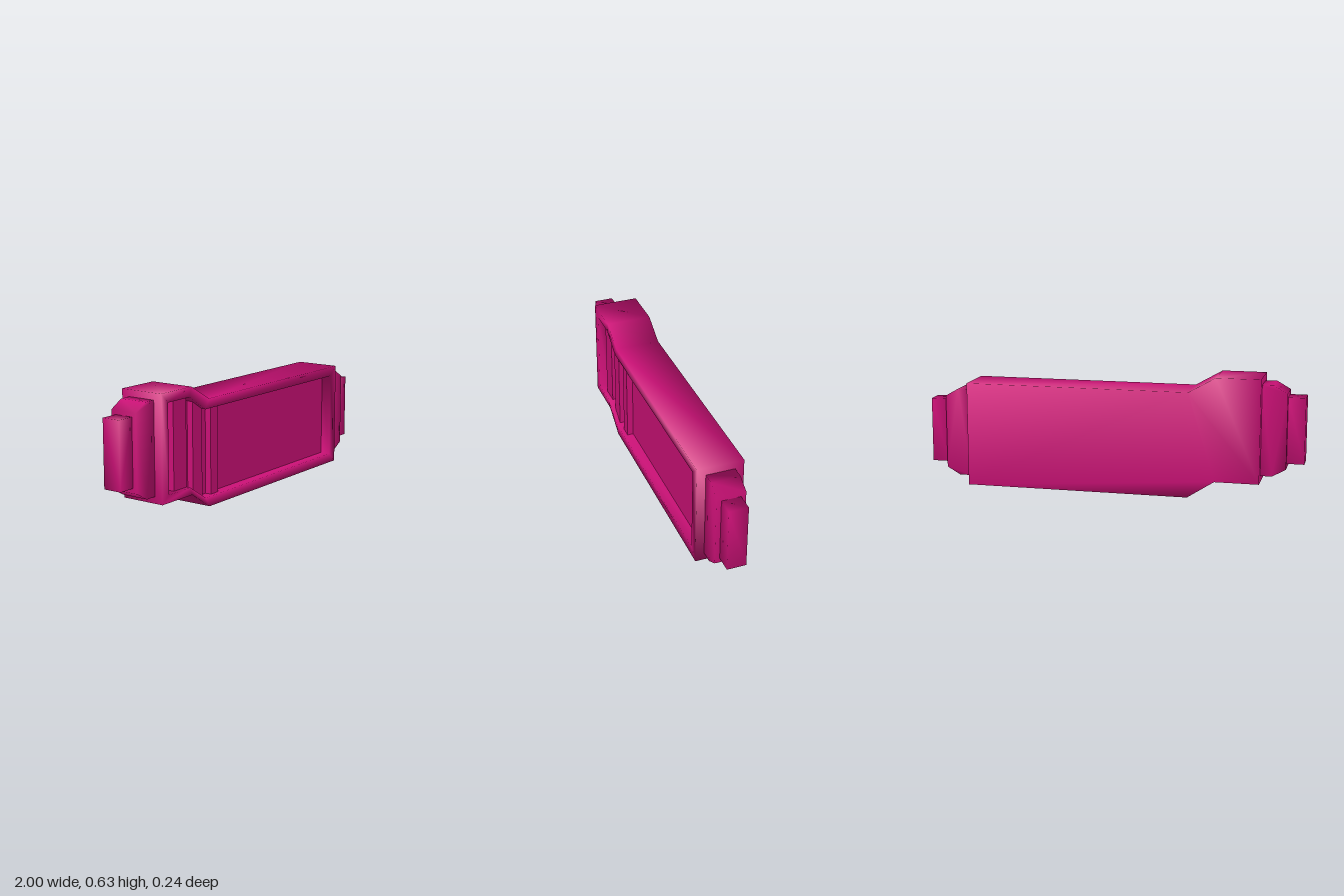
import * as THREE from 'three';

const material = new THREE.MeshStandardMaterial({ color: 0xcc1177 });

// Joins counter-clockwise rings [outline, z] into a solid with shared, smooth vertices.
function loft(rings, capFront = true) {
  const n = rings[0][0].length;
  const positions = [], index = [];
  for (const [outline, z] of rings) for (const [x, y] of outline) positions.push(x, y, z);
  for (let r = 0; r < rings.length - 1; r++) {
    for (let i = 0; i < n; i++) {
      const j = (i + 1) % n, a = r * n, b = a + n;
      index.push(a + i, a + j, b + j, a + i, b + j, b + i);
    }
  }
  const triangles = (outline) =>
    THREE.ShapeUtils.triangulateShape(outline.map(([x, y]) => new THREE.Vector2(x, y)), []);
  for (const [a, b, c] of triangles(rings[0][0])) index.push(a, c, b);
  const last = (rings.length - 1) * n;
  if (capFront) {
    for (const [a, b, c] of triangles(rings[rings.length - 1][0])) index.push(last + a, last + b, last + c);
  }
  const geometry = new THREE.BufferGeometry();
  geometry.setAttribute('position', new THREE.Float32BufferAttribute(positions, 3));
  geometry.setIndex(index);
  geometry.computeVertexNormals();
  return geometry;
}

const slab = (outline, halfDepth) => loft([[outline, -halfDepth], [outline, halfDepth]]);

// Mirrors an outline to the raised -x end and keeps its winding.
const toRightEnd = (outline) => outline.map(([x, y]) => [-x, y + 0.085]).reverse();

export function createModel() {
  const group = new THREE.Group();
  const add = (name, geometry) => {
    const mesh = new THREE.Mesh(geometry, material);
    mesh.name = name;
    group.add(mesh);
    return mesh;
  };

  // Bent casing with a raised rim around the recess
  const outer = [
    [-0.78, 0.09], [-0.55, 0.09], [-0.41, 0], [0.775, 0],
    [0.775, 0.55], [-0.41, 0.55], [-0.55, 0.63], [-0.78, 0.63],
  ];
  const inner = [
    [-0.73, 0.13], [-0.565, 0.13], [-0.44, 0.05], [0.72, 0.05],
    [0.72, 0.5], [-0.44, 0.5], [-0.565, 0.58], [-0.73, 0.58],
  ];
  const floorZ = 0.065;
  add('casing', loft([[outer, -0.12], [outer, 0.12], [inner, 0.12], [inner, floorZ]], false));

  // Flat floor of the recess
  const floorShape = new THREE.Shape(inner.map(([x, y]) => new THREE.Vector2(x, y)));
  add('recessPanel', new THREE.ShapeGeometry(floorShape)).position.z = floorZ;

  // Upright ribs that follow the bend of the recess
  const top = (x) => THREE.MathUtils.mapLinear(THREE.MathUtils.clamp(x, -0.565, -0.44), -0.565, -0.44, 0.58, 0.5);
  [[-0.665, -0.565], [-0.515, -0.44], [-0.37, -0.31]].forEach(([x0, x1], i) => {
    const shape = new THREE.Shape([
      new THREE.Vector2(x0, top(x0) - 0.45), new THREE.Vector2(x1, top(x1) - 0.45),
      new THREE.Vector2(x1, top(x1)), new THREE.Vector2(x0, top(x0)),
    ]);
    const geometry = new THREE.ExtrudeGeometry(shape, { depth: 0.033, bevelEnabled: false });
    add(`rib${i + 1}`, geometry).position.z = floorZ;
  });

  // Chamfered collar and narrow tab at each end
  const collar = [[0.775, 0.04], [0.84, 0.04], [0.91, 0.08], [0.91, 0.47], [0.84, 0.51], [0.775, 0.51]];
  const tab = [[0.91, 0.105], [1, 0.105], [1, 0.448], [0.91, 0.448]];
  add('leftCollar', slab(collar, 0.075));
  add('leftTab', slab(tab, 0.05));
  add('rightCollar', slab(toRightEnd(collar), 0.075));
  add('rightTab', slab(toRightEnd(tab), 0.05));

  return group;
}
